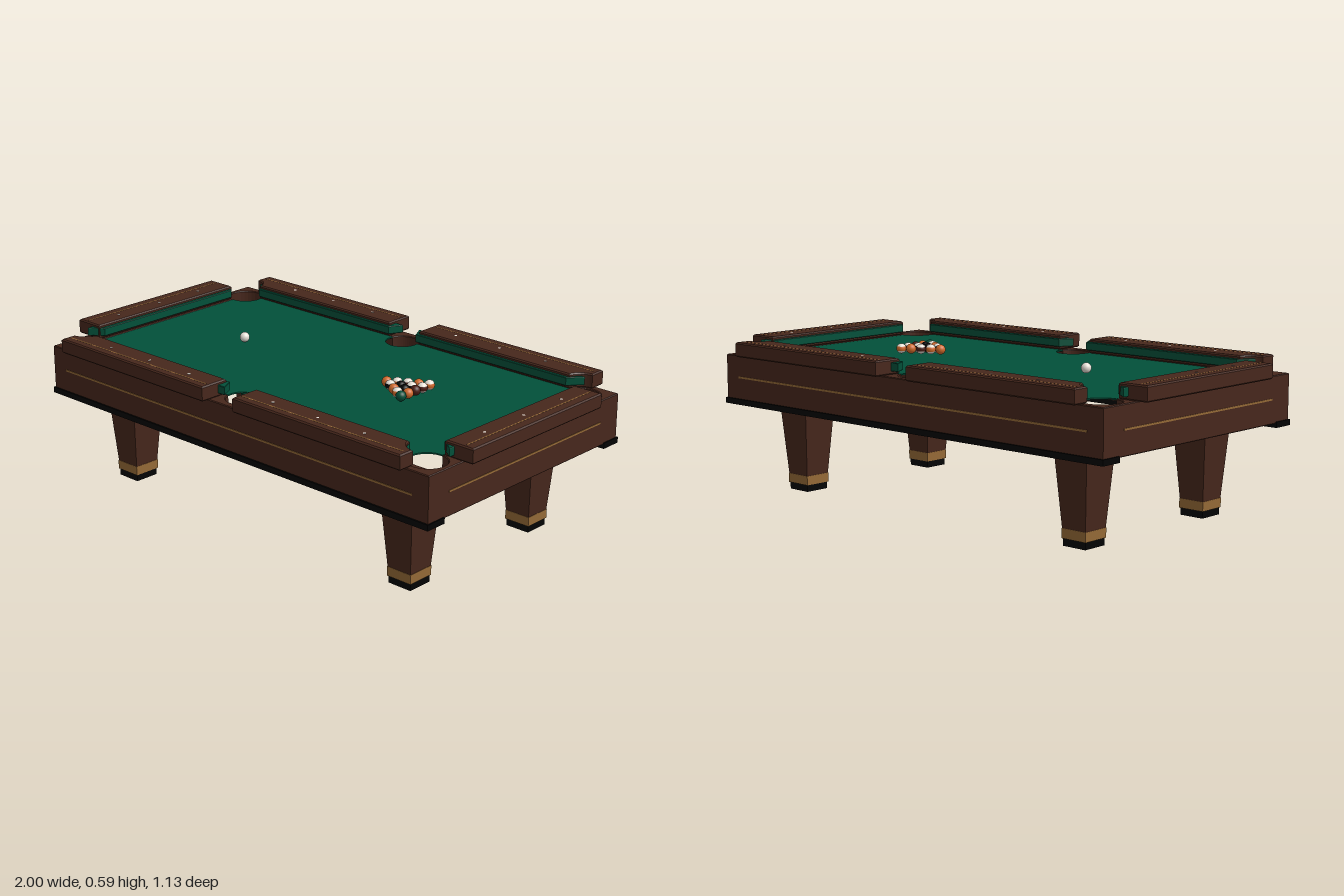
import * as THREE from 'three';

const mat = (name, color) => {
  const m = new THREE.MeshStandardMaterial({ color });
  m.name = name;
  return m;
};

export function createModel() {
  const wood = mat('walnut', 0x47271c);
  const felt = mat('green felt', 0x02503a);
  const gold = mat('brass', 0x946936);
  const black = mat('black', 0x030303);
  const white = mat('ivory', 0xe8e2d8);
  const orange = mat('orange', 0xd0692a);
  const brown = mat('maroon', 0x4a1c14);

  const model = new THREE.Group();
  model.name = 'poolTable';

  const add = (name, geo, material, x = 0, y = 0, z = 0, parent = model) => {
    const mesh = new THREE.Mesh(geo, material);
    mesh.name = name;
    mesh.position.set(x, y, z);
    parent.add(mesh);
    return mesh;
  };
  const box = (name, m, w, h, d, x, y, z, parent) =>
    add(name, new THREE.BoxGeometry(w, h, d), m, x, y, z, parent);

  // Plan outline [x, z] extruded upward from y0 to y1, edges bevelled by b
  const slab = (points, y0, y1, b = 0, hole = null) => {
    const vec = ([x, z]) => new THREE.Vector2(x, -z);
    const shape = new THREE.Shape(points.map(vec));
    if (hole) shape.holes.push(new THREE.Path(hole.map(vec).reverse()));
    const geo = new THREE.ExtrudeGeometry(shape, {
      depth: y1 - y0 - 2 * b, bevelEnabled: b > 0, bevelThickness: b,
      bevelSize: b, bevelOffset: -b, bevelSegments: 1,
    });
    geo.rotateX(-Math.PI / 2);
    geo.translate(0, y0 + b, 0);
    return geo;
  };

  // Pockets: circles at the corners and at the middle of the long sides
  const IX = 0.87, IZ = 0.45;
  const corner = { x: 0.865, z: 0.43, r: 0.07 };
  const side = { x: 0, z: 0.435, r: 0.065 };
  const arc = (c, a0, a1, n = 20) => Array.from({ length: n + 1 }, (_, i) => {
    const a = a0 + (a1 - a0) * i / n;
    return [c.x + c.r * Math.cos(a), c.z + c.r * Math.sin(a)];
  });

  // Bed outline with the pocket arcs bulging outward (frame) or cut inward (bed)
  const bedOutline = (outward) => {
    const turn = outward ? 0 : 2 * Math.PI;
    const c0 = -Math.acos((IX - corner.x) / corner.r);
    const c1 = Math.PI - Math.asin((IZ - corner.z) / corner.r);
    const s0 = Math.asin((IZ - side.z) / side.r);
    const right = arc(corner, c0, c1 - turn);
    const middle = arc(side, s0, Math.PI - s0 - turn);
    const left = right.map(([x, z]) => [-x, z]).reverse();
    const half = [...right, ...middle, ...left];
    return [...half, ...half.map(([x, z]) => [-x, -z])];
  };

  // Frame and thin playing bed
  const rect = (x, z) => [[-x, -z], [x, -z], [x, z], [-x, z]];
  add('apron', slab(rect(0.955, 0.53), 0.355, 0.533, 0.003, bedOutline(true)), wood);
  add('bed', slab(bedOutline(false), 0.528, 0.533), felt);

  for (const s of [-1, 1]) {
    box('baseTrim', black, 1.92, 0.022, 0.087, 0, 0.351, s * 0.4935);
    box('sideInlay', gold, 1.77, 0.007, 0.004, 0, 0.447, s * 0.53);
    box('endInlay', gold, 0.004, 0.007, 0.85, s * 0.955, 0.447, 0);
  }

  // Sight markers, nearly flush with the rail tops
  const markerGeo = new THREE.CylinderGeometry(0.007, 0.007, 0.002, 4);
  const marker = (x, z) => add('sightMarker', markerGeo, white, x, 0.5897, z);

  // Long rails with their cushions, one per quarter
  for (const sx of [-1, 1]) for (const sz of [-1, 1]) {
    const place = (pts) => pts.map(([x, z]) => [x * sx, z * sz]);
    const notch = arc(corner, Math.PI - 0.2157, Math.PI / 2 + 0.0715, 8);
    const rail = [[0.077, 0.445], ...notch, [0.86, 0.565], [0.077, 0.565]];
    add('longRail', slab(place(rail), 0.533, 0.59, 0.005), wood);
    const cushion = [[0.07, 0.433], [0.79, 0.433], [0.835, 0.487], [0.042, 0.487]];
    add('longCushion', slab(place(cushion), 0.546, 0.578, 0.002), felt);
    box('railInlay', gold, 0.75, 0.003, 0.005, sx * 0.467, 0.589, sz * 0.53);
    for (const x of [0.215, 0.43, 0.645]) marker(sx * x, sz * 0.5);
  }

  // End rails with their cushions
  for (const sx of [-1, 1]) {
    const place = (pts) => pts.map(([x, z]) => [x * sx, z]);
    const rail = [[0.88, -0.36], [1, -0.36], [1, 0.36], [0.88, 0.36]];
    add('endRail', slab(place(rail), 0.533, 0.59, 0.005), wood);
    const cushion = [[0.865, -0.345], [0.92, -0.385], [0.92, 0.385], [0.865, 0.345]];
    add('endCushion', slab(place(cushion), 0.546, 0.578, 0.002), felt);
    box('railInlay', gold, 0.005, 0.003, 0.69, sx * 0.96, 0.589, 0);
    for (const z of [-0.215, 0, 0.215]) marker(sx * 0.93, z);
  }

  // Tapered square legs with brass cuff and black foot
  const legGeo = new THREE.BoxGeometry(0.105, 0.345, 0.108);
  legGeo.translate(0, 0.2325, 0);
  const p = legGeo.attributes.position;
  for (let i = 0; i < p.count; i++) {
    if (p.getY(i) > 0.2) {
      p.setX(i, p.getX(i) * 1.5);
      p.setZ(i, p.getZ(i) * 1.5);
    }
  }
  legGeo.computeVertexNormals();
  for (const sx of [-1, 1]) for (const sz of [-1, 1]) {
    const leg = new THREE.Group();
    leg.name = 'leg';
    leg.position.set(sx * 0.71, 0, sz * 0.333);
    add('legPost', legGeo, wood, 0, 0, 0, leg);
    box('legCuff', gold, 0.108, 0.036, 0.111, 0, 0.045, 0, leg);
    box('foot', black, 0.1, 0.028, 0.102, 0, 0.014, 0, leg);
    model.add(leg);
  }

  // Balls: plain, or ivory with a coloured band
  const R = 0.0195, BY = 0.557;
  const solidGeo = new THREE.SphereGeometry(R, 20, 14);
  const zone = (a, b) => new THREE.SphereGeometry(R, 20, 6, 0, Math.PI * 2, a * Math.PI, (b - a) * Math.PI);
  const capGeo = zone(0, 0.36), bandGeo = zone(0.36, 0.64), baseGeo = zone(0.64, 1);
  const ball = (x, z, color, striped) => {
    if (!striped) {
      add('ball', solidGeo, color, x, BY, z);
      return;
    }
    const g = new THREE.Group();
    g.name = 'stripedBall';
    g.position.set(x, BY, z);
    add('ballCap', capGeo, white, 0, 0, 0, g);
    add('ballBand', bandGeo, color, 0, 0, 0, g);
    add('ballBase', baseGeo, white, 0, 0, 0, g);
    model.add(g);
  };
  ball(-0.435, 0, white, false);

  // Racked triangle, row by row from the tip
  const O = [orange, false], K = [black, false], G = [felt, false], M = [brown, false];
  const so = [orange, true], sk = [black, true], sm = [brown, true];
  const rows = [[O], [so, sk], [sm, K, O], [O, sk, K, so], [so, sm, M, O, G]];
  rows.forEach((row, i) => row.forEach(([color, striped], j) =>
    ball(0.304 + i * 0.0342, (j - i / 2) * 0.0395, color, striped)));

  return model;
}
